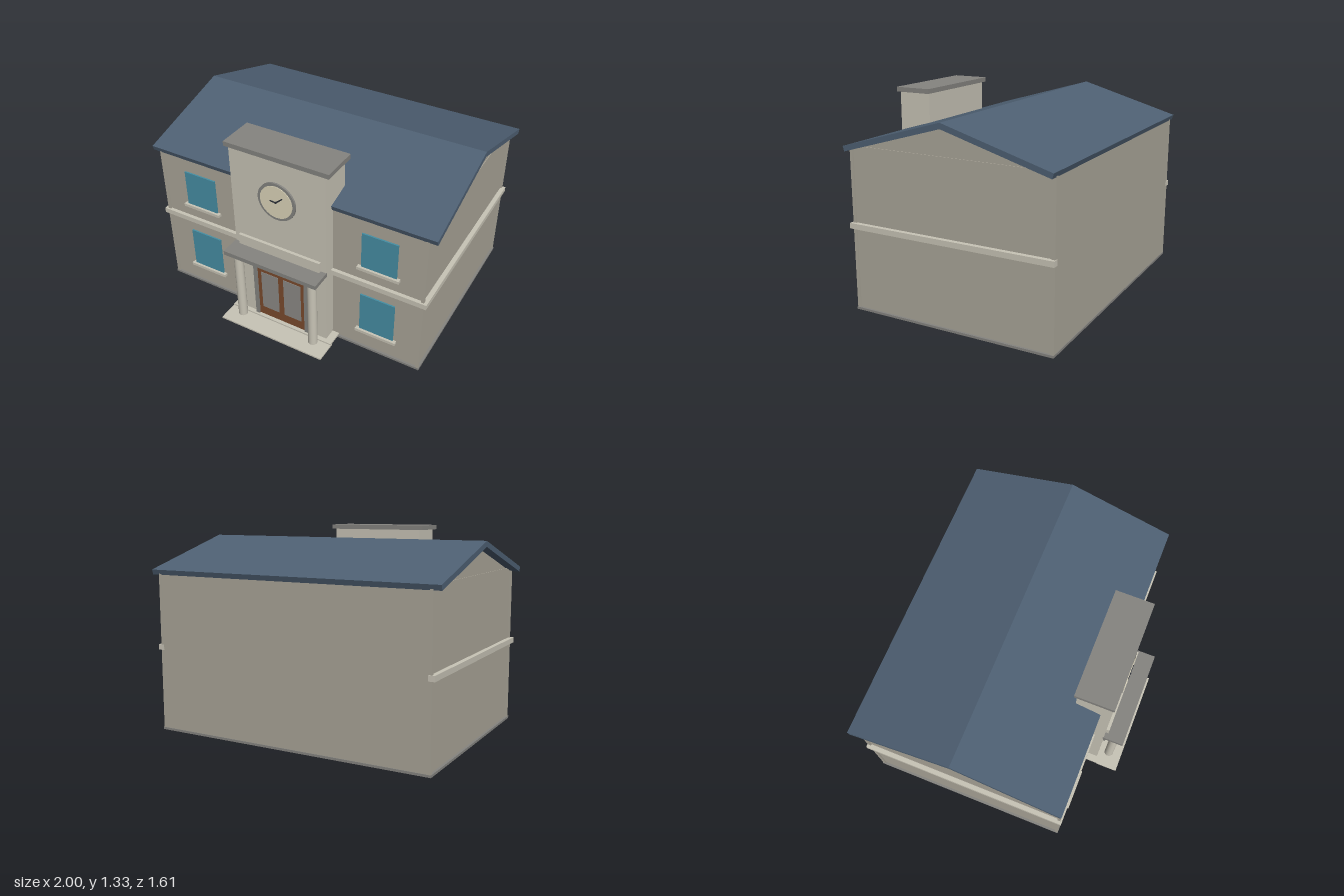
import * as THREE from 'three';

const mat = (color) => new THREE.MeshStandardMaterial({ color });
const M = {
  wall: mat(0xaaa598), stone: mat(0xc8c4b6), trim: mat(0x858480), roof: mat(0x4e6073),
  glass: mat(0x468ea3), wood: mat(0x7a4a2c), pane: mat(0x8c8a86), dial: mat(0xdcd5ba), hand: mat(0x2c3038),
};

export function createModel() {
  const root = new THREE.Group();

  const add = (name, geometry, material, parent = root) => {
    const mesh = new THREE.Mesh(geometry, material);
    mesh.name = name;
    parent.add(mesh);
    return mesh;
  };
  // Box given by its limits on each axis
  const box = (name, material, [x0, x1], [y0, y1], [z0, z1], parent) => {
    const mesh = add(name, new THREE.BoxGeometry(x1 - x0, y1 - y0, z1 - z0), material, parent);
    mesh.position.set((x0 + x1) / 2, (y0 + y1) / 2, (z0 + z1) / 2);
    return mesh;
  };
  // Profile of [z, y] points extruded along x between -half and +half
  const prism = (name, material, points, half) => {
    const shape = new THREE.Shape(points.map(([z, y]) => new THREE.Vector2(-z, y)));
    const geometry = new THREE.ExtrudeGeometry(shape, { depth: half * 2, bevelEnabled: false });
    geometry.translate(0, 0, -half).rotateY(Math.PI / 2);
    return add(name, geometry, material);
  };

  // Main block
  box('plinth', M.trim, [-0.955, 0.955], [0, 0.015], [-0.8, 0.57]);
  box('mainWalls', M.wall, [-0.94, 0.94], [0.015, 1.05], [-0.795, 0.555]);
  prism('gable', M.wall, [[0.47, 1.05], [-0.115, 1.225], [-0.7, 1.05]], 0.935);
  prism('roof', M.roof, [
    [0.577, 1.056], [-0.115, 1.256], [-0.807, 1.056],
    [-0.797, 1.024], [-0.115, 1.22], [0.567, 1.024],
  ], 1);

  // Corner pilasters and the belt course round the front and sides
  box('frontBelt', M.stone, [-0.97, 0.97], [0.535, 0.57], [0.55, 0.58]);
  for (const s of [-1, 1]) {
    const side = (a, b) => (s > 0 ? [a, b] : [-b, -a]);
    box('frontPilaster', M.wall, side(0.93, 0.95), [0.015, 1.035], [0.548, 0.568]);
    box('backPilaster', M.wall, side(0.93, 0.95), [0.015, 1.035], [-0.799, -0.777]);
    box('sideBelt', M.stone, side(0.93, 0.97), [0.535, 0.57], [-0.803, 0.58]);

    // Windows with sills on both floors
    for (const [bottom, top] of [[0.155, 0.447], [0.67, 0.925]]) {
      box('window', M.glass, side(0.53, 0.765), [bottom, top], [0.55, 0.566]);
      box('windowSill', M.stone, side(0.507, 0.787), [bottom - 0.015, bottom + 0.005], [0.55, 0.582]);
    }
  }

  // Entrance tower
  box('towerBase', M.stone, [-0.38, 0.38], [0.012, 0.025], [0.55, 0.67]);
  box('tower', M.stone, [-0.332, 0.332], [0.015, 1.297], [0.413, 0.64]);
  box('towerCap', M.trim, [-0.36, 0.36], [1.295, 1.326], [0.4, 0.65]);
  box('signBoard', M.stone, [-0.295, 0.295], [0.588, 0.662], [0.635, 0.66]);

  // Clock, built facing +z about its own centre
  const clock = new THREE.Group();
  clock.name = 'clock';
  clock.position.set(0, 1.012, 0.64);
  root.add(clock);
  add('clockRim', new THREE.CylinderGeometry(0.132, 0.132, 0.012, 40).rotateX(Math.PI / 2), M.trim, clock).position.z = 0.006;
  add('clockFace', new THREE.CylinderGeometry(0.113, 0.113, 0.004, 40).rotateX(Math.PI / 2), M.dial, clock).position.z = 0.014;
  for (const [name, x, y] of [['minuteHand', 0.047, 0.042], ['hourHand', -0.04, 0.003]]) {
    const hand = add(name, new THREE.BoxGeometry(Math.hypot(x, y), 0.008, 0.004), M.hand, clock);
    hand.position.set(x / 2, y / 2, 0.018);
    hand.rotation.z = Math.atan2(y, x);
  }
  add('clockHub', new THREE.CylinderGeometry(0.007, 0.007, 0.006, 12).rotateX(Math.PI / 2), M.hand, clock).position.z = 0.019;

  // Porch
  box('porchStep', M.stone, [-0.382, 0.382], [0.004, 0.015], [0.655, 0.803]);
  box('porchRoof', M.trim, [-0.335, 0.335], [0.56, 0.589], [0.635, 0.775]);
  for (const s of [-1, 1]) {
    add('porchColumn', new THREE.CylinderGeometry(0.031, 0.031, 0.53, 24), M.stone).position.set(s * 0.272, 0.297, 0.71);
  }

  // Double door with frame and lintel
  box('doorLintel', M.trim, [-0.212, 0.212], [0.496, 0.52], [0.63, 0.662]);
  box('doorHeader', M.trim, [-0.178, 0.178], [0.48, 0.497], [0.63, 0.656]);
  for (const s of [-1, 1]) {
    const side = (a, b) => (s > 0 ? [a, b] : [-b, -a]);
    box('doorJamb', M.trim, side(0.176, 0.204), [0.025, 0.497], [0.63, 0.656]);
    box('doorLeaf', M.wood, side(0.001, 0.176), [0.027, 0.482], [0.63, 0.647]);
    box('doorGlass', M.pane, side(0.02, 0.148), [0.098, 0.4], [0.64, 0.65]);
  }

  return root;
}
